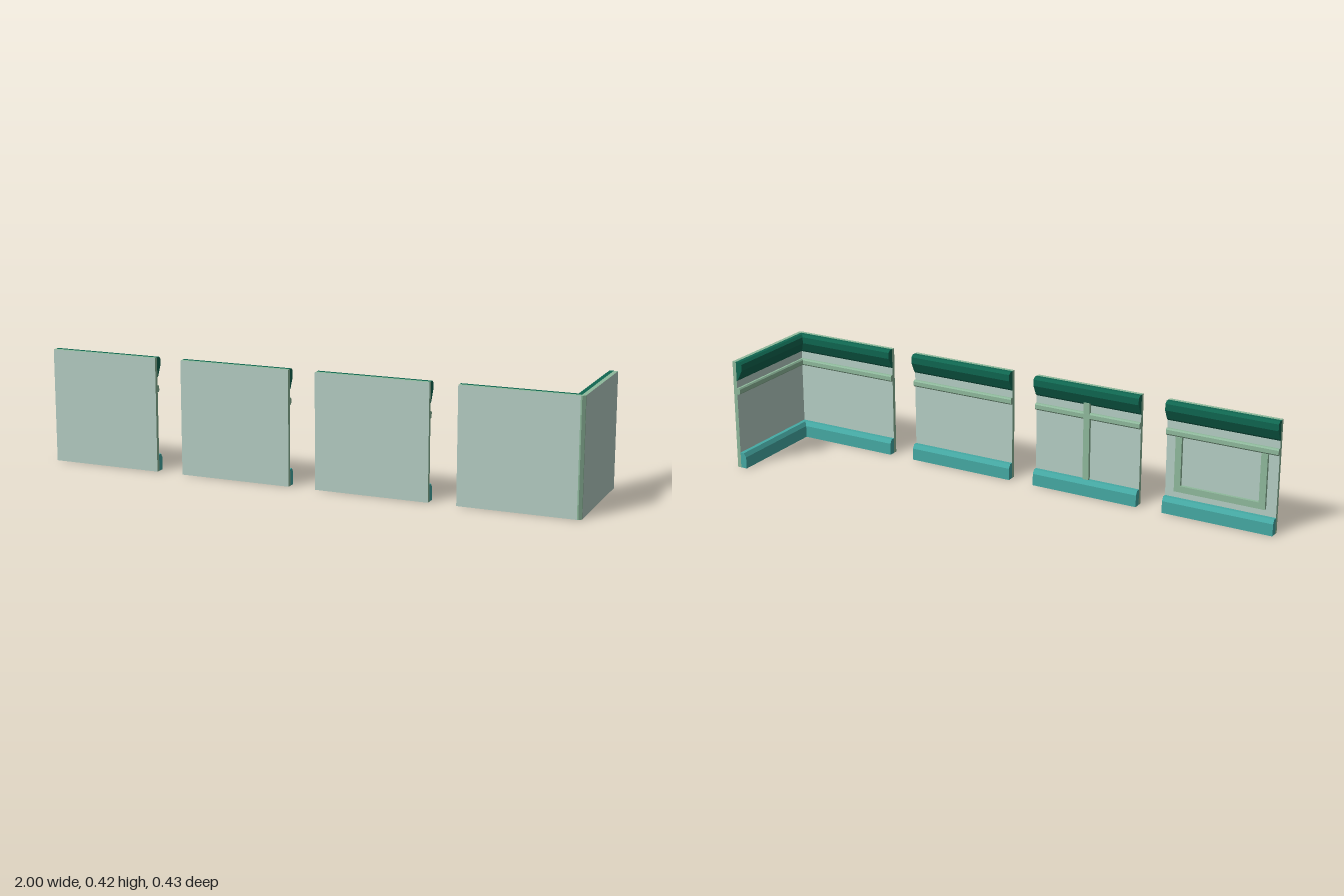
import * as THREE from 'three';

const mat = (color) => new THREE.MeshStandardMaterial({ color });
const wallMat = mat(0xb5cec4), trimMat = mat(0x8fb99c), baseMat = mat(0x45aaa4), corniceMat = mat(0x0f6650);

const H = 0.42, W = 0.42, T = 0.015, FRONT = 0.215;

// Moulding cross-sections as [depth from the outer face, height]
const CORNICE = [[T, 0.345], [0.022, 0.352], [0.04, 0.388], [0.04, 0.412], [0.03, 0.42], [T, 0.42]];
const RAIL = [[T, 0.292], [0.023, 0.292], [0.027, 0.297], [0.027, 0.312], [0.023, 0.317], [T, 0.317]];
const BASE = [[T, 0], [0.04, 0], [0.04, 0.045], [0.03, 0.06], [T, 0.06]];

function add(group, name, geometry, material) {
  const mesh = new THREE.Mesh(geometry, material);
  mesh.name = name;
  group.add(mesh);
  return mesh;
}

// Straight moulding along local z, with optional mitred start or end
function moulding(profile, length, mitre) {
  const shape = new THREE.Shape(profile.map(([d, y]) => new THREE.Vector2(d, y)));
  const g = new THREE.ExtrudeGeometry(shape, { depth: length, bevelEnabled: false });
  const p = g.attributes.position;
  for (let i = 0; i < p.count; i++) {
    const atEnd = p.getZ(i) > length / 2;
    if (mitre === 'end' && atEnd) p.setZ(i, length - p.getX(i));
    if (mitre === 'start' && !atEnd) p.setZ(i, p.getX(i));
  }
  g.computeVertexNormals();
  return g;
}

// Cornice, rail and skirting for one stretch of wall
function addMouldings(group, length, mitre) {
  add(group, 'cornice', moulding(CORNICE, length, mitre), corniceMat);
  add(group, 'dadoRail', moulding(RAIL, length, mitre), trimMat);
  add(group, 'baseboard', moulding(BASE, length, mitre), baseMat);
}

// Wall board in the mouldings' frame: depth on x, run on z, trim-coloured edges
function addBoard(group, start, end) {
  const g = new THREE.BoxGeometry(T, H, end - start);
  g.translate(T / 2, H / 2, (start + end) / 2);
  add(group, 'wallBoard', g, [wallMat, wallMat, trimMat, trimMat, trimMat, trimMat]);
}

// Flat strip on the panelled face, centred at run position t
function addStrip(group, name, t, width, y0, y1) {
  const g = new THREE.BoxGeometry(0.012, y1 - y0, width);
  g.translate(T + 0.006, (y0 + y1) / 2, t);
  add(group, name, g, trimMat);
}

function straightPanel(name, x) {
  const panel = new THREE.Group();
  panel.name = name;
  panel.rotation.y = Math.PI / 2;
  panel.position.set(x, 0, FRONT);
  addBoard(panel, 0, W);
  addMouldings(panel, W);
  return panel;
}

export function createModel() {
  const model = new THREE.Group();
  model.name = 'wallPanels';

  // Panel with a rectangular frame below the rail
  const framed = straightPanel('framedPanel', -1);
  for (const t of [0.05, W - 0.05]) addStrip(framed, 'frameStile', t, 0.024, 0.086, 0.292);
  addStrip(framed, 'frameBottom', W / 2, W - 0.124, 0.086, 0.11);

  // Panel with a central upright
  const divided = straightPanel('dividedPanel', -0.478);
  addStrip(divided, 'centreBatten', W / 2, 0.024, 0.05, 0.355);

  const plain = straightPanel('plainPanel', 0.043);
  model.add(framed, divided, plain);

  // Corner: two mitred walls meeting at a bevelled edge
  const corner = new THREE.Group();
  corner.name = 'cornerPanel';
  const front = new THREE.Group();
  front.name = 'cornerFrontWall';
  front.rotation.y = Math.PI / 2;
  front.position.set(0.565, 0, FRONT);
  addBoard(front, 0, 0.42);
  addMouldings(front, 0.435, 'end');

  const side = new THREE.Group();
  side.name = 'cornerSideWall';
  side.rotation.y = Math.PI;
  side.position.set(1, 0, FRONT);
  addBoard(side, T, 0.43);
  addMouldings(side, 0.43, 'start');

  const c = 0.01;
  const post = new THREE.Shape([[0, 0], [T - c, 0], [T, c], [T, T], [0, T]].map(([x, y]) => new THREE.Vector2(x, y)));
  const postGeo = new THREE.ExtrudeGeometry(post, { depth: H, bevelEnabled: false });
  postGeo.rotateX(Math.PI / 2).translate(0, H, 0);
  postGeo.scale(1, 1, -1);
  // Restore the winding after mirroring in z
  const p = postGeo.attributes.position;
  for (let i = 0; i < p.count; i += 3) {
    const a = new THREE.Vector3().fromBufferAttribute(p, i + 1);
    const b = new THREE.Vector3().fromBufferAttribute(p, i + 2);
    p.setXYZ(i + 1, b.x, b.y, b.z);
    p.setXYZ(i + 2, a.x, a.y, a.z);
  }
  postGeo.computeVertexNormals();
  add(corner, 'cornerEdge', postGeo, trimMat).position.set(1 - T, 0, FRONT);

  corner.add(front, side);
  model.add(corner);
  return model;
}
